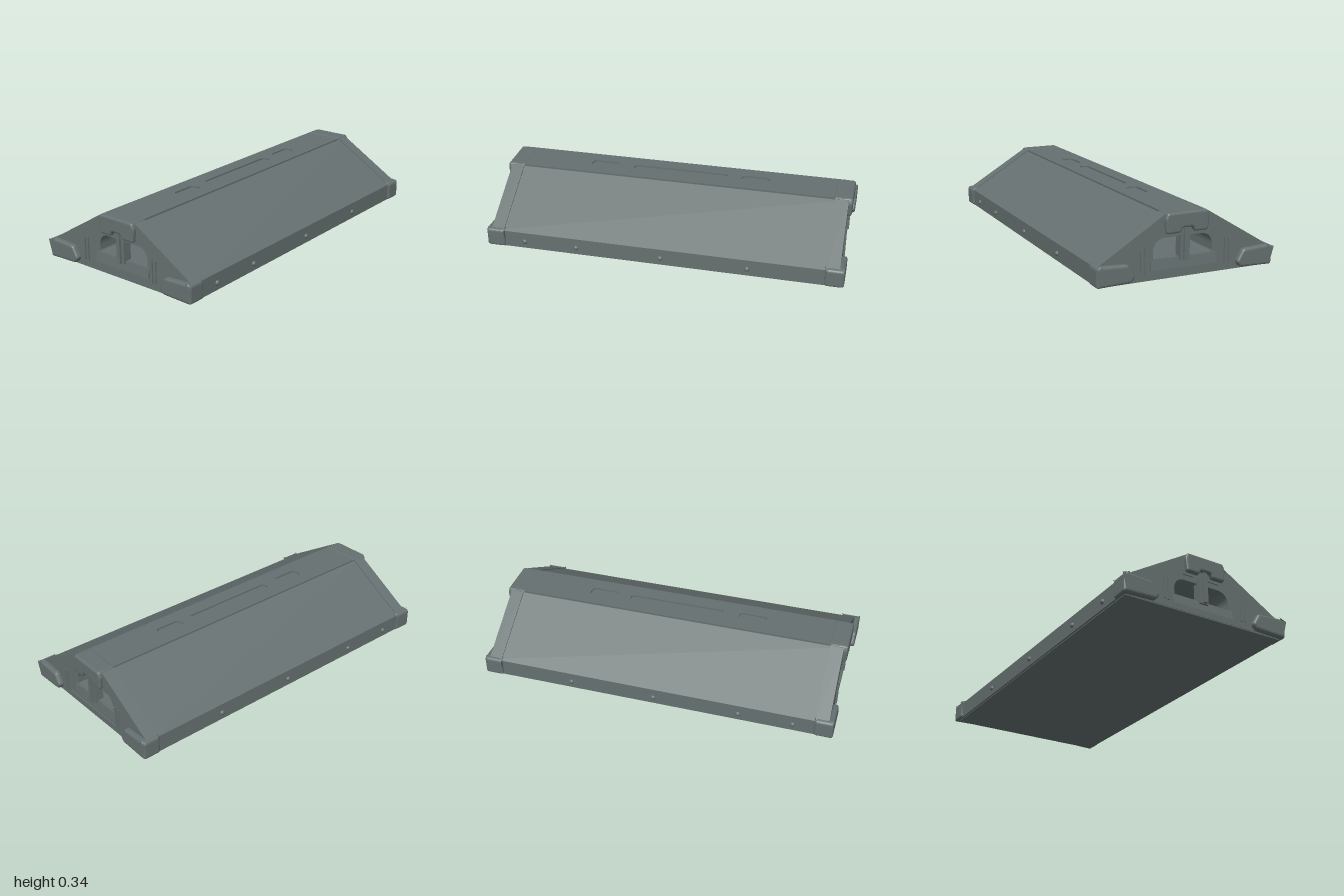
import * as THREE from 'three';

const metal = new THREE.MeshStandardMaterial({ color: 0x667070 });
metal.name = 'slate grey';

// Closed path from [z, y] points; the sign flip matches the turn made in extrudeX
function outline(points, PathType = THREE.Shape) {
  return new PathType(points.map(([z, y]) => new THREE.Vector2(-z, y)));
}

// Extrude a z-y outline along x, with edges bevelled inwards
function extrudeX(name, shape, x0, x1, bevel = 0) {
  const geo = new THREE.ExtrudeGeometry(shape, {
    depth: x1 - x0 - 2 * bevel, bevelEnabled: bevel > 0, bevelThickness: bevel,
    bevelSize: bevel, bevelOffset: -bevel, bevelSegments: 3, curveSegments: 8,
  });
  geo.rotateY(Math.PI / 2).translate(x0 + bevel, 0, 0);
  const mesh = new THREE.Mesh(geo, metal);
  mesh.name = name;
  return mesh;
}

// Rounded polygon outline built with quadratic corners
function rounded(points, r) {
  const shape = new THREE.Shape();
  const pts = points.map(([z, y]) => new THREE.Vector2(-z, y));
  pts.forEach((p, i) => {
    const prev = pts[(i + pts.length - 1) % pts.length], next = pts[(i + 1) % pts.length];
    const a = p.clone().add(prev.clone().sub(p).setLength(r));
    const b = p.clone().add(next.clone().sub(p).setLength(r));
    if (i === 0) shape.moveTo(a.x, a.y); else shape.lineTo(a.x, a.y);
    shape.quadraticCurveTo(p.x, p.y, b.x, b.y);
  });
  shape.closePath();
  return shape;
}

function box(name, w, h, d, x, y, z) {
  const mesh = new THREE.Mesh(new THREE.BoxGeometry(w, h, d), metal);
  mesh.name = name;
  mesh.position.set(x, y, z);
  return mesh;
}

// Stadium-shaped slot in the x-z plane
function slot(x0, x1, half) {
  const r = half * 0.7, p = new THREE.Path();
  p.moveTo(x0 + r, -half);
  p.lineTo(x1 - r, -half);
  p.quadraticCurveTo(x1, -half, x1, 0);
  p.quadraticCurveTo(x1, half, x1 - r, half);
  p.lineTo(x0 + r, half);
  p.quadraticCurveTo(x0, half, x0, 0);
  p.quadraticCurveTo(x0, -half, x0 + r, -half);
  return p;
}

export function createModel() {
  const model = new THREE.Group();
  model.name = 'rampHousing';

  // Long sloped body with a tunnel through it
  const body = outline([[0.485, 0.005], [0.485, 0.1], [0.115, 0.323], [-0.115, 0.323],
    [-0.485, 0.1], [-0.485, 0.005]]);
  const tunnel = new THREE.Path();
  tunnel.moveTo(-0.158, 0.098);
  tunnel.lineTo(0.158, 0.098);
  tunnel.quadraticCurveTo(0.168, 0.098, 0.168, 0.11);
  tunnel.lineTo(0.168, 0.14);
  tunnel.quadraticCurveTo(0.163, 0.197, 0.105, 0.201);
  tunnel.lineTo(-0.105, 0.201);
  tunnel.quadraticCurveTo(-0.163, 0.197, -0.168, 0.14);
  tunnel.lineTo(-0.168, 0.11);
  tunnel.quadraticCurveTo(-0.168, 0.098, -0.158, 0.098);
  body.holes.push(tunnel);
  model.add(extrudeX('body', body, -0.945, 0.945));

  // Top cover with three shallow slots
  const cover = new THREE.Shape([[-0.95, -0.112], [0.95, -0.112], [0.95, 0.112], [-0.95, 0.112]]
    .map(([x, z]) => new THREE.Vector2(x, z)));
  cover.holes.push(slot(-0.52, -0.36, 0.032), slot(-0.27, 0.28, 0.026), slot(0.36, 0.52, 0.032));
  const coverGeo = new THREE.ExtrudeGeometry(cover, { depth: 0.011, bevelEnabled: false });
  coverGeo.rotateX(-Math.PI / 2).translate(0, 0.321, 0);
  const coverMesh = new THREE.Mesh(coverGeo, metal);
  coverMesh.name = 'topCover';
  model.add(coverMesh);

  for (const s of [-1, 1]) {
    const span = (a, b) => (s > 0 ? [a, b] : [-b, -a]);

    // Raised end frame around a recessed panel
    const frame = outline([[0.488, 0.005], [0.488, 0.103], [0.118, 0.328], [-0.118, 0.328],
      [-0.488, 0.103], [-0.488, 0.005]]);
    frame.holes.push(outline([[0.21, 0.04], [0.2, 0.175], [0.165, 0.215], [-0.165, 0.215],
      [-0.2, 0.175], [-0.21, 0.04]], THREE.Path));
    model.add(extrudeX('endFrame', frame, ...span(0.9, 0.972)));

    // Sloped sill and centre post in the opening
    const sill = box('sill', 0.025, 0.055, 0.37, s * 0.945, 0.069, 0);
    sill.rotation.z = s * 0.12;
    model.add(sill);
    model.add(box('centrePost', 0.05, 0.165, 0.052, s * 0.943, 0.165, 0));
    model.add(box('postRib', 0.02, 0.17, 0.022, s * 0.973, 0.17, 0));

    // Rounded cap on the upper end
    const cap = rounded([[0.112, 0.335], [-0.112, 0.335], [-0.124, 0.305], [-0.116, 0.23],
      [-0.04, 0.23], [-0.03, 0.255], [0.03, 0.255], [0.04, 0.23], [0.116, 0.23], [0.124, 0.305]], 0.012);
    model.add(extrudeX('topCap', cap, ...span(0.89, 0.995), 0.012));

    for (const t of [-1, 1]) {
      // Rounded corner foot
      const foot = rounded([[0.496, 0.004], [0.496, 0.104], [0.475, 0.112], [0.325, 0.104],
        [0.288, 0.04], [0.31, 0.01]].map(([z, y]) => [z * t, y]), 0.014);
      model.add(extrudeX('cornerFoot', foot, ...span(0.895, 1), 0.014));

      // Upright ribs beside the opening
      model.add(box('sideRib', 0.012, 0.135, 0.008, s * 0.975, 0.107, t * 0.226));
      model.add(box('sideRib', 0.012, 0.125, 0.008, s * 0.975, 0.105, t * 0.25));
    }
  }

  // Rivets along both long edges
  const rivetGeo = new THREE.SphereGeometry(0.015, 12, 8);
  for (const x of [-0.78, -0.48, 0, 0.48]) {
    for (const t of [-1, 1]) {
      const rivet = new THREE.Mesh(rivetGeo, metal);
      rivet.name = 'rivet';
      rivet.position.set(x, 0.045, t * 0.482);
      model.add(rivet);
    }
  }

  // Flat base
  model.add(box('basePlate', 1.94, 0.01, 0.95, 0, 0.005, 0));
  return model;
}
